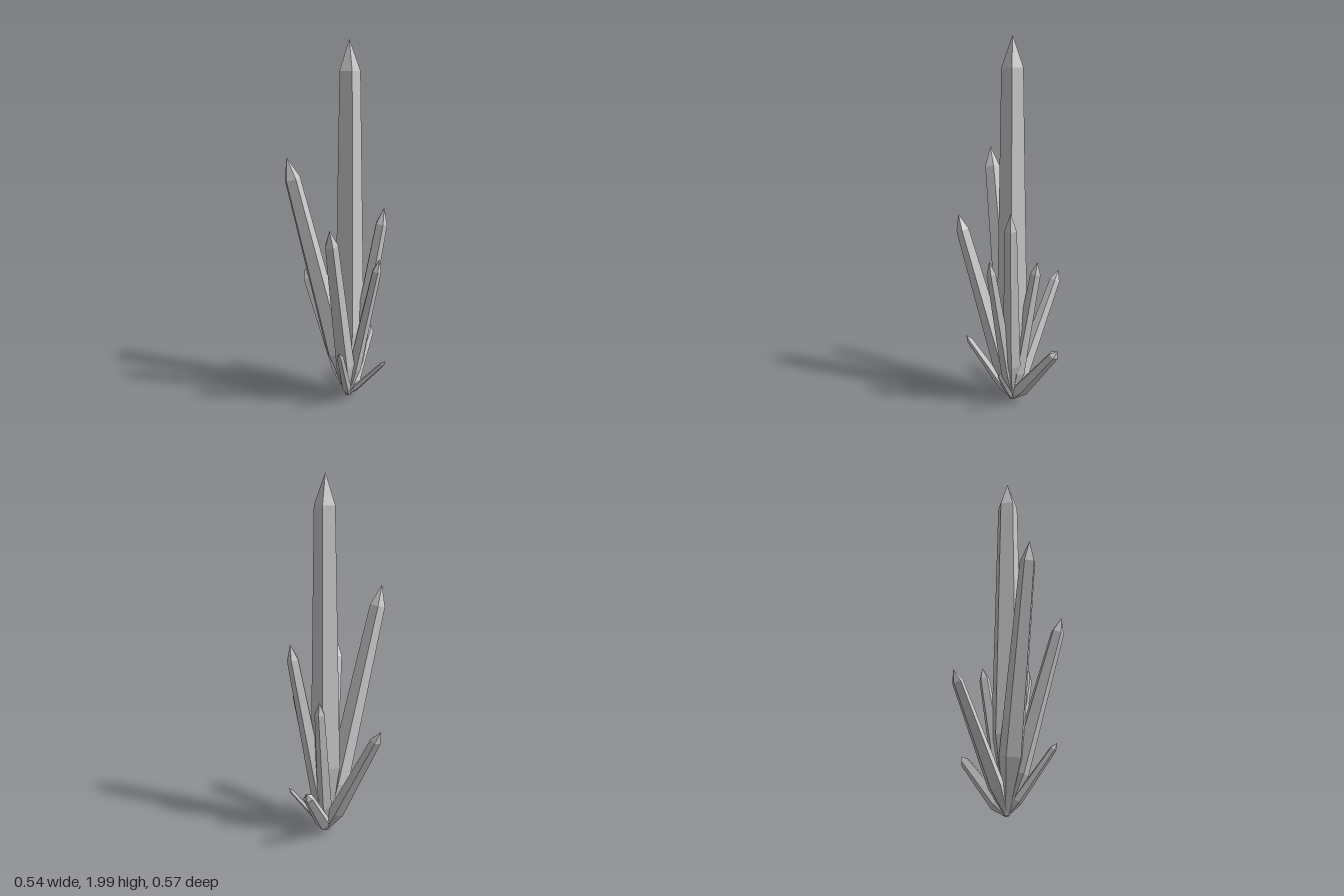
import * as THREE from 'three';

// Common root from which every crystal grows
const ROOT = new THREE.Vector3(0.055, 0.012, -0.03);
const UP = new THREE.Vector3(0, 1, 0);

// [name, tip x, tip y, tip z, widest radius, turn of the corners in degrees]
const CRYSTALS = [
  ['mainCrystal', 0.055, 2.0, -0.03, 0.088, 0],
  ['tallRightCrystal', -0.262, 1.4, 0.115, 0.065, 56],
  ['frontCrystal', -0.028, 1.05, 0.272, 0.054, 0],
  ['tallLeftCrystal', 0.248, 1.11, -0.032, 0.05, 0],
  ['frontLeftCrystal', 0.225, 0.85, 0.08, 0.038, 0],
  ['backCrystal', 0.1, 0.82, -0.168, 0.043, 0],
  ['backRightCrystal', -0.215, 0.69, -0.28, 0.045, 0],
  ['backLeftCrystal', 0.177, 0.345, -0.28, 0.042, 0],
  ['leftSliver', 0.268, 0.245, 0.03, 0.018, 0],
  ['frontSliver', 0.02, 0.368, 0.23, 0.027, 0],
];

// Five-sided shard: small foot, widest at a fifth, shoulder, pointed tip
function crystalGeometry(length, radius, turn) {
  const profile = [[0, 0], [0.2, 0], [1, 0.2], [0.68, 0.918], [0, 1]]
    .map(([r, h]) => new THREE.Vector2(r * radius, h * length));
  const start = Math.PI / 2 - THREE.MathUtils.degToRad(turn);
  const geometry = new THREE.LatheGeometry(profile, 5, start).toNonIndexed();
  geometry.computeVertexNormals();
  return geometry;
}

export function createModel() {
  const group = new THREE.Group();
  group.name = 'crystalCluster';
  const material = new THREE.MeshStandardMaterial({ color: 0xcccccc, flatShading: true });

  for (const [name, x, y, z, radius, turn] of CRYSTALS) {
    const axis = new THREE.Vector3(x, y, z).sub(ROOT);
    const mesh = new THREE.Mesh(crystalGeometry(axis.length(), radius, turn), material);
    mesh.name = name;
    mesh.position.copy(ROOT);
    mesh.quaternion.setFromUnitVectors(UP, axis.normalize());
    group.add(mesh);
  }
  return group;
}
